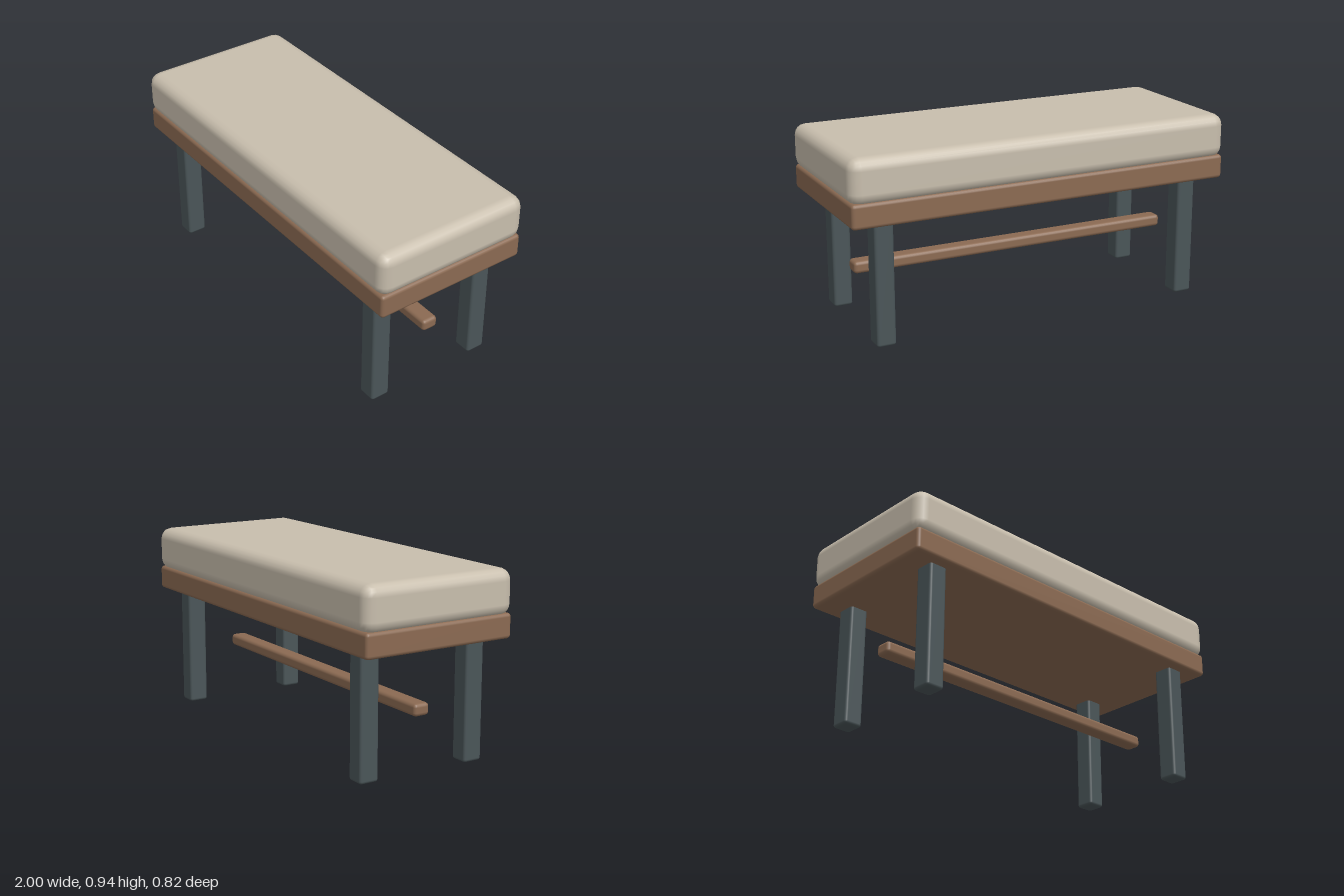
import * as THREE from 'three';
import { RoundedBoxGeometry } from 'three/addons/geometries/RoundedBoxGeometry.js';

const material = (name, color) => {
  const m = new THREE.MeshStandardMaterial({ color });
  m.name = name;
  return m;
};

export function createModel() {
  const fabric = material('beige fabric', 0xc8bead);
  const wood = material('brown wood', 0x8b6a52);
  const metal = material('dark grey metal', 0x4a5558);

  const bench = new THREE.Group();
  bench.name = 'bench';

  // Rounded block given by its width, bottom, top and depth
  const block = (name, mat, width, bottom, top, depth, radius, x = 0, z = 0) => {
    const geometry = new RoundedBoxGeometry(width, top - bottom, depth, 2, radius);
    const mesh = new THREE.Mesh(geometry, mat);
    mesh.name = name;
    mesh.position.set(x, (bottom + top) / 2, z);
    bench.add(mesh);
  };

  // Padded seat on a wooden frame
  block('cushion', fabric, 2, 0.713, 0.937, 0.82, 0.058);
  block('seatFrame', wood, 1.986, 0.607, 0.728, 0.805, 0.018);

  // Four legs, let into the frame
  for (const [side, x] of [['Left', 0.82], ['Right', -0.82]]) {
    for (const [end, z] of [['front', 0.295], ['back', -0.295]]) {
      block(`${end}${side}Leg`, metal, 0.096, 0, 0.625, 0.1, 0.014, x, z);
    }
  }

  // Long bar between the leg pairs
  block('stretcher', wood, 1.72, 0.266, 0.327, 0.084, 0.018);

  return bench;
}
